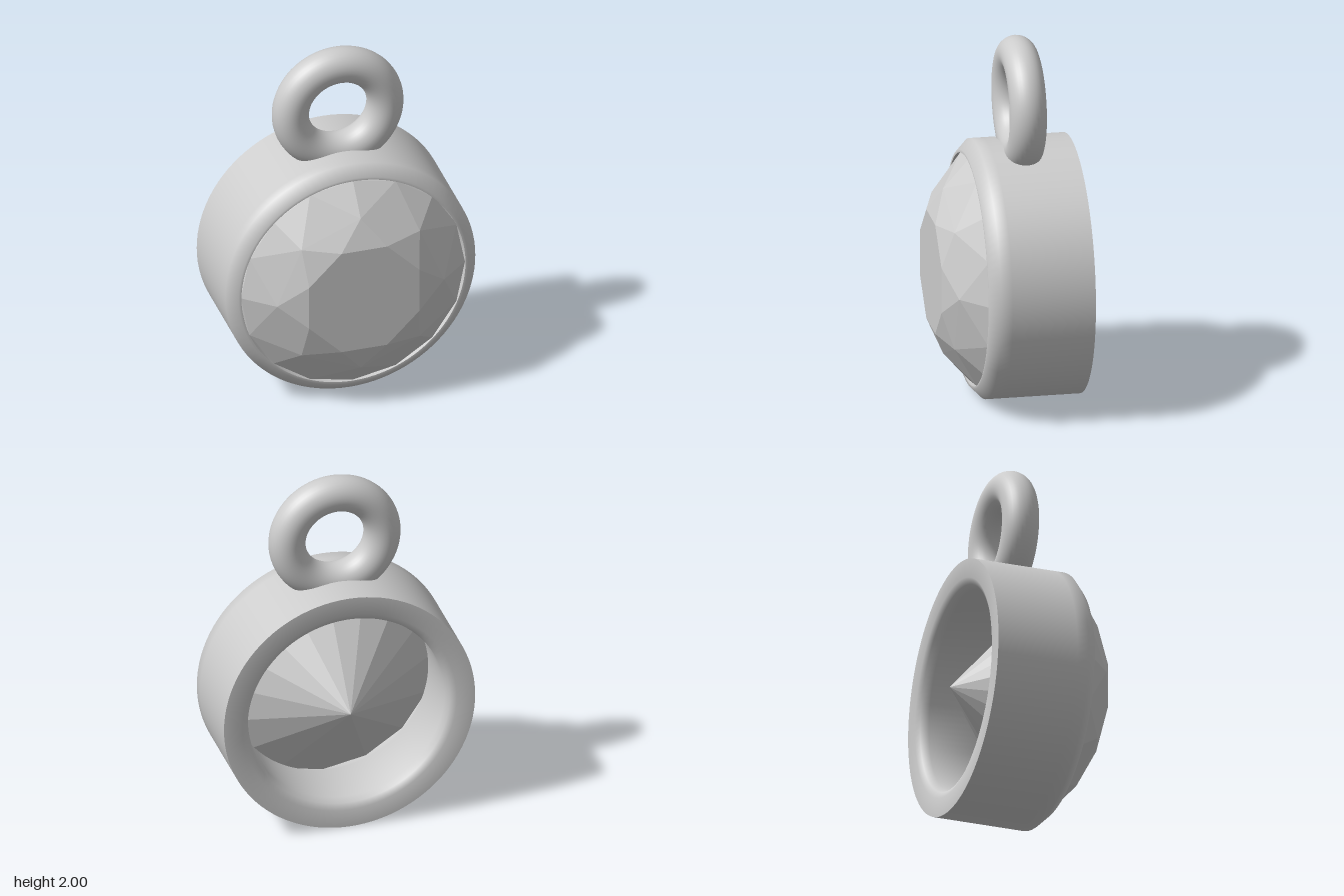
import * as THREE from 'three';
import { toCreasedNormals } from 'three/addons/utils/BufferGeometryUtils.js';
import { ConvexGeometry } from 'three/addons/geometries/ConvexGeometry.js';

const CENTRE_Y = 0.703;

// Evenly spaced points on a circle facing +z
function circle(count, radius, z, startAngle = 0) {
  return Array.from({ length: count }, (_, i) => {
    const a = startAngle + (i * 2 * Math.PI) / count;
    return new THREE.Vector3(radius * Math.cos(a), radius * Math.sin(a), z);
  });
}

export function createModel() {
  const group = new THREE.Group();
  group.name = 'pendant';
  const silver = new THREE.MeshStandardMaterial({ color: 0xcccccc });
  silver.name = 'silver grey';

  const add = (name, geometry, y, z = 0) => {
    const mesh = new THREE.Mesh(geometry, silver);
    mesh.name = name;
    mesh.position.set(0, y, z);
    group.add(mesh);
  };

  // Setting: closed profile of radius and depth, open at the back, with a ledge under the stone
  const profile = [
    [0.6, -0.373], [0.703, -0.373], [0.703, 0.08], [0.703, 0.143], [0.645, 0.2],
    [0.63, 0.2], [0.63, 0.1], [0.55, 0.0], [0.55, -0.31], [0.565, -0.355], [0.6, -0.373],
  ].map(([r, z]) => new THREE.Vector2(r, z));
  const setting = new THREE.LatheGeometry(profile, 96).rotateX(Math.PI / 2);
  add('setting', toCreasedNormals(setting, 0.9), CENTRE_Y);

  // Round brilliant stone: table, crown, girdle and pointed pavilion
  const stone = new ConvexGeometry([
    ...circle(8, 0.336, 0.397, Math.PI / 8),
    ...circle(8, 0.47, 0.33),
    ...circle(16, 0.63, 0.19),
    ...circle(16, 0.63, 0.14),
    new THREE.Vector3(0, 0, -0.395),
  ]);
  add('stone', stone, CENTRE_Y);

  // Hanging loop
  add('hangingLoop', new THREE.TorusGeometry(0.266, 0.1, 32, 72), 1.634, -0.086);

  return group;
}
